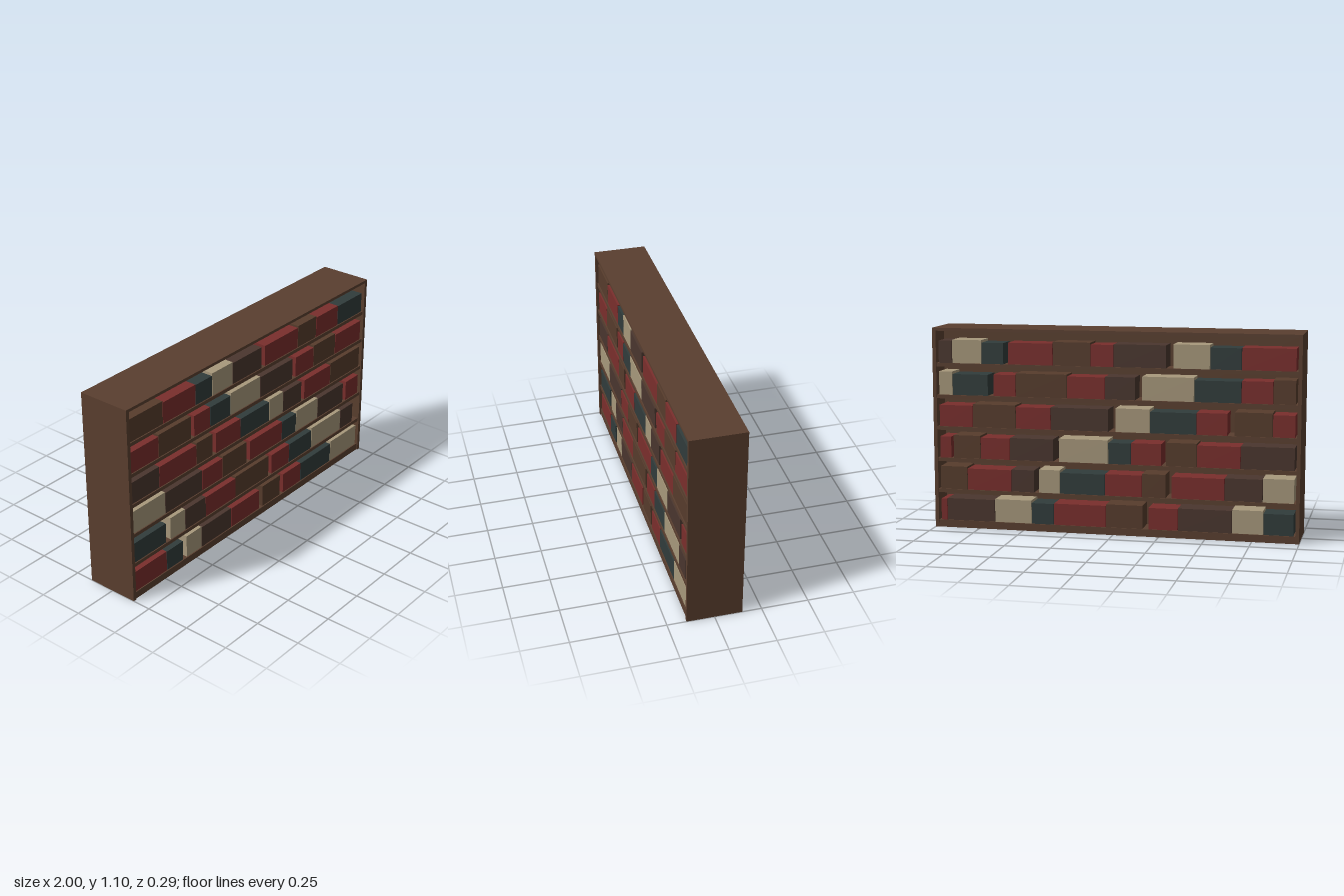
import * as THREE from 'three';

// Book kinds: colour and height
const KINDS = {
  r: { color: 0x7a2e2c, h: 0.117 },
  b: { color: 0x573c2c, h: 0.126 },
  d: { color: 0x4a362e, h: 0.121 },
  t: { color: 0x313c3b, h: 0.114 },
  c: { color: 0xa8997c, h: 0.127 },
};

// Rows bottom to top, each read left to right as seen by someone facing that
// side: kind letter + relative width, '-' is an empty gap
const FRONT = [
  'r45 t24 -5 c23 d46 r46 -5 b30 -5 r31 t54 c48',
  't45 -6 c22 d31 r46 b54 -5 r30 t39 c53 d23 -8',
  'c45 d54 r31 b38 -5 r53 t24 c38 d46 -5 r23',
  'd38 r53 b24 -5 r38 t46 c23 d31 -5 r46 b53',
  'r38 b46 -4 r24 t31 c46 d53 -5 r31 b38 r46',
  'b45 r46 t24 c31 d45 -5 r54 b31 r38 t43',
];
const BACK = [
  'r6 d46 c35 t21 r49 b34 -5 r27 d49 c28 t27',
  'b26 r42 d22 -4 c20 t42 r34 b22 -5 r48 d34 c28',
  'r11 -2 b26 r28 d41 -5 c46 t21 r28 -4 b28 r39 d48',
  'r32 b41 r33 d54 -6 c32 t42 r28 -6 b34 r20',
  'c13 t34 -5 r21 b48 r35 d28 -6 c47 t42 r28 b20',
  'd13 c28 t21 -4 r42 b35 r21 d48 -6 c33 t28 r48',
];

const W = 2, H = 1.1, D = 0.294;   // overall size
const SIDE = 0.02, SHELF = 0.02;   // board thicknesses
const BASE = 0.04, PITCH = 0.1738; // first shelf height and spacing
const PANEL = 0.02;                // centre divider
const BOOK_W = 1.94, BOOK_FRONT = 0.135;

const frameMaterial = new THREE.MeshStandardMaterial({ color: 0x5a3f2f });
const bookMaterials = {};
for (const k in KINDS) bookMaterials[k] = new THREE.MeshStandardMaterial({ color: KINDS[k].color });

function box(parent, name, material, w, h, d, x, y, z) {
  const mesh = new THREE.Mesh(new THREE.BoxGeometry(w, h, d), material);
  mesh.name = name;
  mesh.position.set(x, y, z);
  parent.add(mesh);
}

// One side's books, facing +z
function bookSide(name, rows) {
  const side = new THREE.Group();
  side.name = name;
  const depth = BOOK_FRONT - PANEL / 2;
  rows.forEach((row, i) => {
    const items = row.split(' ').map((s) => [s[0], Number(s.slice(1))]);
    const unit = BOOK_W / items.reduce((sum, it) => sum + it[1], 0);
    const y = BASE + i * PITCH;
    let x = -BOOK_W / 2;
    for (const [kind, size] of items) {
      const w = size * unit;
      if (kind !== '-') {
        const h = KINDS[kind].h;
        box(side, 'book', bookMaterials[kind], w - 0.003, h, depth,
          x + w / 2, y + h / 2, PANEL / 2 + depth / 2);
      }
      x += w;
    }
  });
  return side;
}

export function createModel() {
  const model = new THREE.Group();
  model.name = 'doubleSidedBookcase';

  // Case
  const frame = new THREE.Group();
  frame.name = 'frame';
  model.add(frame);
  const inner = W - 2 * SIDE;
  box(frame, 'leftSide', frameMaterial, SIDE, H, D, W / 2 - SIDE / 2, H / 2, 0);
  box(frame, 'rightSide', frameMaterial, SIDE, H, D, -W / 2 + SIDE / 2, H / 2, 0);
  box(frame, 'topBoard', frameMaterial, inner, 0.016, D, 0, H - 0.008, 0);
  box(frame, 'baseBoard', frameMaterial, inner, BASE, D - 0.012, 0, BASE / 2, 0);
  box(frame, 'centrePanel', frameMaterial, inner, H - BASE - 0.016, PANEL, 0, (H + BASE - 0.016) / 2, 0);

  // Shelves
  for (let i = 1; i < 6; i++) {
    box(frame, 'shelf', frameMaterial, inner, SHELF, D - 0.012, 0, BASE + i * PITCH - SHELF / 2, 0);
  }

  // Books on both faces
  model.add(bookSide('frontBooks', FRONT));
  const back = bookSide('backBooks', BACK);
  back.rotation.y = Math.PI;
  model.add(back);
  return model;
}
